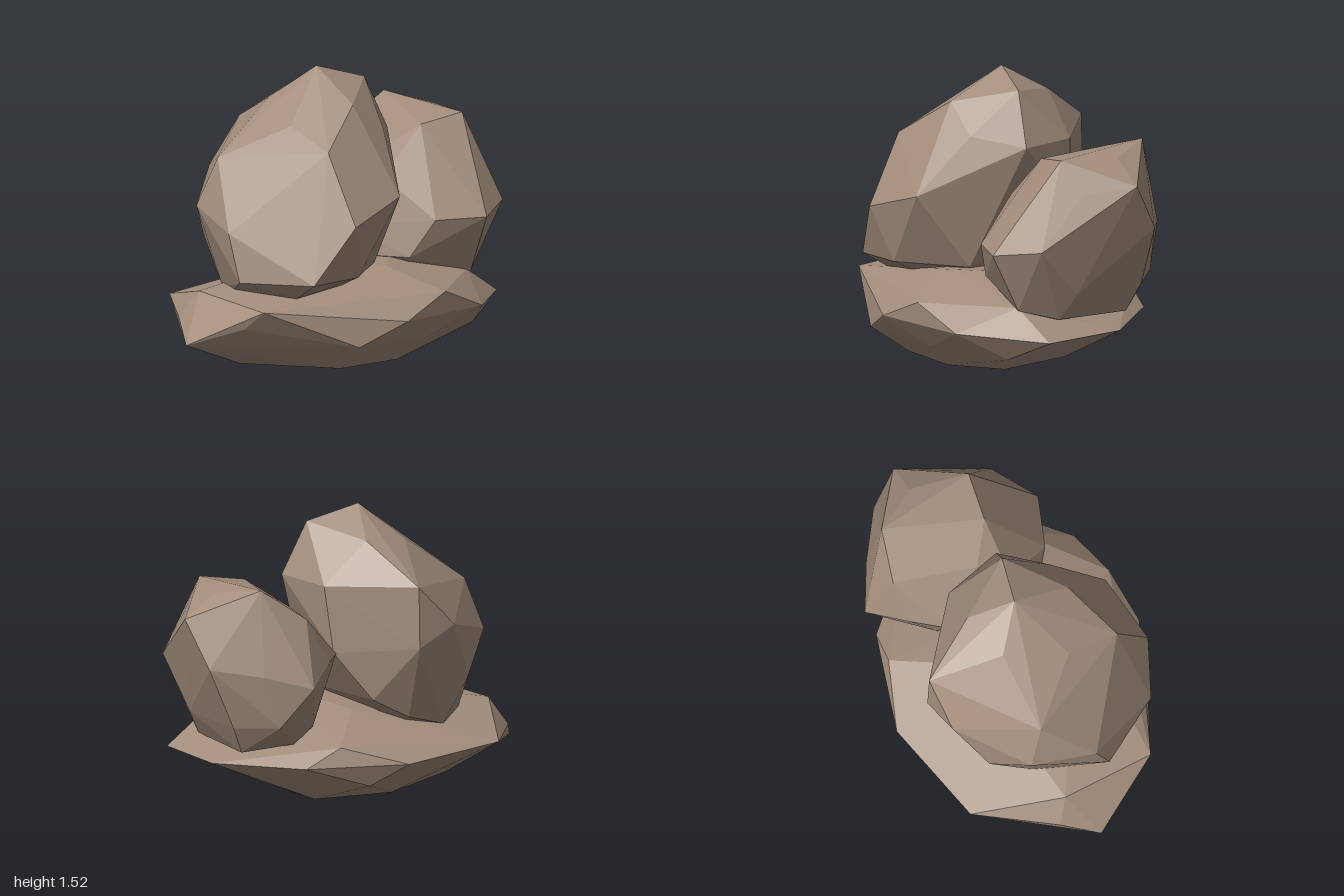
import * as THREE from 'three';
import { ConvexGeometry } from 'three/addons/geometries/ConvexGeometry.js';

const stone = new THREE.MeshStandardMaterial({ color: 0xa38d7c });
stone.name = 'warm grey stone';

// A faceted boulder: the hull around its chiselled corners, grouped in tiers.
function boulder(name, tiers) {
  const corners = tiers.flat().map(([x, y, z]) => new THREE.Vector3(x, y, z));
  const mesh = new THREE.Mesh(new ConvexGeometry(corners), stone);
  mesh.name = name;
  return mesh;
}

export function createModel() {
  const group = new THREE.Group();
  group.name = 'rockCluster';

  // Broad flat slab the others rest on
  group.add(boulder('baseSlab', [
    [[-0.61, 0, -0.02], [-0.28, 0, 0.41], [0.1, 0, 0.4], [0.34, 0, 0.2], [0.25, 0, -0.22], [-0.17, 0, -0.27]],
    [[-1, 0.15, 0.02], [-0.32, 0.15, 0.62], [0.17, 0.13, 0.55], [0.64, 0.13, 0.36], [0.49, 0.16, -0.36], [0.12, 0.15, -0.61]],
    [[-0.83, 0.26, 0.3], [-0.06, 0.27, 0.7], [0.51, 0.27, 0.6], [0.88, 0.25, 0.25], [0.84, 0.26, -0.2], [0.47, 0.27, -0.57],
      [-0.06, 0.27, -0.71], [-0.65, 0.29, -0.57], [-0.9, 0.26, -0.17]],
    [[-0.79, 0.36, 0.41], [0.22, 0.39, 0.66], [0.64, 0.4, 0.3], [0.28, 0.37, -0.59], [-0.82, 0.4, -0.1]],
    [[0.05, 0.5, 0.37], [0.22, 0.5, 0.18], [0.05, 0.47, -0.25]],
  ]));

  // Tall boulder leaning to the right
  group.add(boulder('tallBoulder', [
    [[-0.3, 0.25, 0], [-0.42, 0.37, -0.38], [-0.6, 0.38, -0.18], [-0.68, 0.41, 0.02], [-0.55, 0.4, 0.38], [-0.2, 0.44, -0.42]],
    [[-0.25, 0.5, 0.52], [-0.55, 0.49, 0.53], [-0.77, 0.48, 0.18], [-0.55, 0.62, -0.41], [0, 0.55, -0.4], [0.07, 0.5, 0.25]],
    [[-0.34, 0.79, 0.615], [0.01, 0.9, 0.54], [-0.78, 0.73, 0.1], [-0.72, 0.82, -0.25], [-0.4, 0.95, -0.55],
      [-0.18, 0.85, -0.59], [0.18, 0.8, -0.3]],
    [[-0.37, 1.16, 0.42], [0.11, 1.21, 0.27], [0.31, 1.16, 0.05], [0.22, 1.16, -0.27], [-0.18, 1.18, -0.58], [-0.65, 1.08, -0.16]],
    [[-0.09, 1.36, 0.27], [-0.39, 1.26, 0.13], [-0.28, 1.35, -0.2], [-0.02, 1.38, -0.28], [0.18, 1.44, 0.02], [-0.09, 1.52, -0.04]],
  ]));

  // Smaller boulder beside it
  group.add(boulder('smallBoulder', [
    [[0.4, 0.25, 0], [0.66, 0.39, 0.31], [0.76, 0.34, 0.12], [0.72, 0.33, -0.31], [0.5, 0.32, -0.2], [0.45, 0.36, -0.38]],
    [[0.84, 0.48, 0.06], [0.79, 0.48, -0.36], [0.6, 0.5, -0.53], [0.3, 0.42, -0.3], [0.13, 0.5, 0.06], [0.28, 0.5, 0.28]],
    [[0.65, 0.7, 0.46], [0.38, 0.7, 0.37], [0.88, 0.74, 0.3], [0.91, 0.75, -0.02], [0.93, 0.81, -0.36], [0.69, 0.78, -0.52],
      [0.46, 0.72, -0.64], [0.28, 0.8, -0.46], [0.17, 0.8, -0.31], [0.11, 0.65, 0], [0.24, 0.91, 0.1]],
    [[0.88, 1.02, 0.05], [1, 1.06, -0.21], [0.43, 1.06, -0.49], [0.33, 1.02, -0.05]],
    [[0.51, 1.15, 0.08], [0.76, 1.19, 0.11], [0.82, 1.18, -0.2], [0.67, 1.23, -0.44]],
  ]));

  return group;
}
